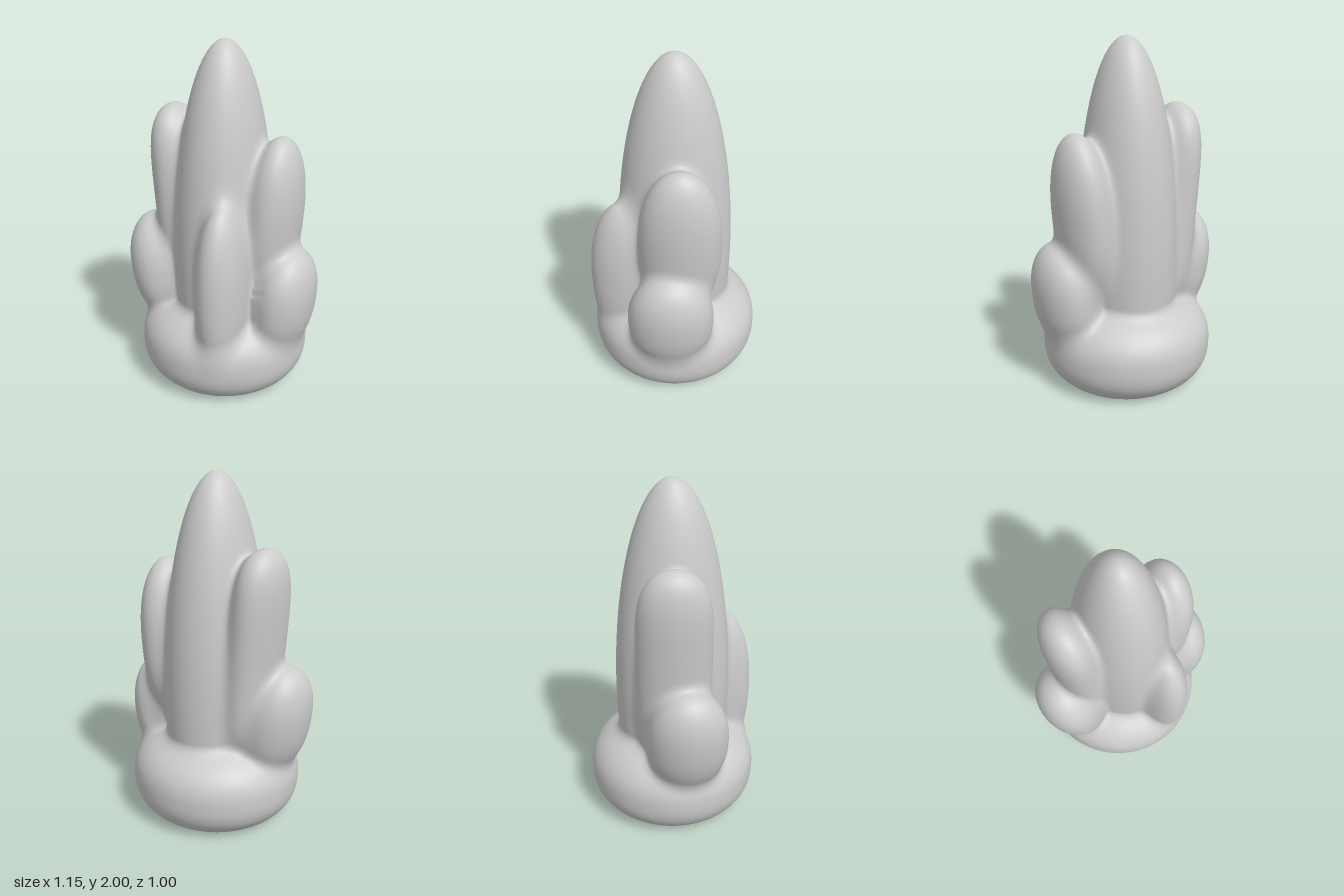
import * as THREE from 'three';

// Each lobe: centre, radii, q = bluntness of the ends, lean = sideways drift per unit of height
const LOBES = [
  { c: [0, 0.22, 0], r: [0.5, 0.31, 0.5], q: 2.5, lean: 0 },            // swollen base
  { c: [0, 0.75, 0], r: [0.28, 1.25, 0.33], q: 2, lean: 0 },            // main spire
  { c: [-0.28, 1.0, -0.01], r: [0.14, 0.62, 0.21], q: 5, lean: -0.08 }, // tall right column
  { c: [0.29, 1.0, -0.03], r: [0.16, 0.5, 0.23], q: 2.4, lean: 0.08 },  // tall left column
  { c: [-0.38, 0.62, 0.06], r: [0.19, 0.34, 0.23], q: 2.3, lean: -0.15 }, // low right bud
  { c: [0.39, 0.55, 0.02], r: [0.18, 0.33, 0.245], q: 2.3, lean: 0.1 }, // low left bud
  { c: [0.13, 0.65, 0.28], r: [0.14, 0.53, 0.21], q: 2.3, lean: 0 },    // front column
];
const BLEND = 0.045;
const RINGS = 170, SIDES = 160, LOW = 0.22, MID = 0.5;

// Approximate signed distance to one lobe
function lobeDistance({ c, r, q, lean }, x, y, z) {
  const h = y - c[1];
  const dx = (x - c[0] - lean * h) / r[0];
  const dz = (z - c[2]) / r[2];
  const f = Math.sqrt(dx * dx + dz * dz + Math.abs(h / r[1]) ** q);
  return (f - 1) * Math.min(...r);
}

// Smooth union of all lobes
function field(x, y, z) {
  let d = 10;
  for (const lobe of LOBES) {
    const e = lobeDistance(lobe, x, y, z);
    const h = Math.max(BLEND - Math.abs(d - e), 0) / BLEND;
    d = Math.min(d, e) - h * h * BLEND * 0.25;
  }
  return d;
}

// Outermost surface point along a ray from the central axis
function surfacePoint(oy, dir) {
  const at = (t) => field(dir.x * t, oy + dir.y * t, dir.z * t);
  let t = 1.7;
  while (t > 0.03 && at(t) > 0) t -= 0.02;
  let lo = t, hi = t + 0.02;
  for (let k = 0; k < 12; k++) {
    const m = (lo + hi) / 2;
    if (at(m) > 0) hi = m; else lo = m;
  }
  return [dir.x * lo, oy + dir.y * lo, dir.z * lo];
}

function makeGeometry(positions, index) {
  const g = new THREE.BufferGeometry();
  g.setAttribute('position', new THREE.Float32BufferAttribute(positions, 3));
  g.setIndex(index);
  g.computeVertexNormals();
  return g;
}

export function createModel() {
  const group = new THREE.Group();
  group.name = 'spireCluster';
  const material = new THREE.MeshStandardMaterial({ color: 0xcccccc });

  // Skin: level rays up the base, then a fan of rays up to the tip
  const positions = [], index = [];
  for (let i = 0; i <= RINGS; i++) {
    const s = i / RINGS;
    const oy = MID * Math.min(1, s / LOW);
    const phi = Math.max(0, (s - LOW) / (1 - LOW)) * (Math.PI / 2 - 0.002);
    for (let j = 0; j < SIDES; j++) {
      const a = (j / SIDES) * Math.PI * 2;
      const w = Math.cos(phi) * 0.5;
      const dir = new THREE.Vector3(w * Math.cos(a), Math.sin(phi) * 1.2, w * Math.sin(a)).normalize();
      positions.push(...surfacePoint(oy, dir));
      if (i === RINGS) continue;
      const p = i * SIDES + j, n = i * SIDES + ((j + 1) % SIDES);
      index.push(p, p + SIDES, n, n, p + SIDES, n + SIDES);
    }
  }
  const skin = new THREE.Mesh(makeGeometry(positions, index), material);
  skin.name = 'blendedSpires';
  group.add(skin);

  // Flat underside closing the first ring
  const capIndex = [];
  for (let j = 0; j < SIDES; j++) capIndex.push(SIDES, j, (j + 1) % SIDES);
  const cap = new THREE.Mesh(makeGeometry([...positions.slice(0, SIDES * 3), 0, 0, 0], capIndex), material);
  cap.name = 'underside';
  group.add(cap);
  return group;
}
